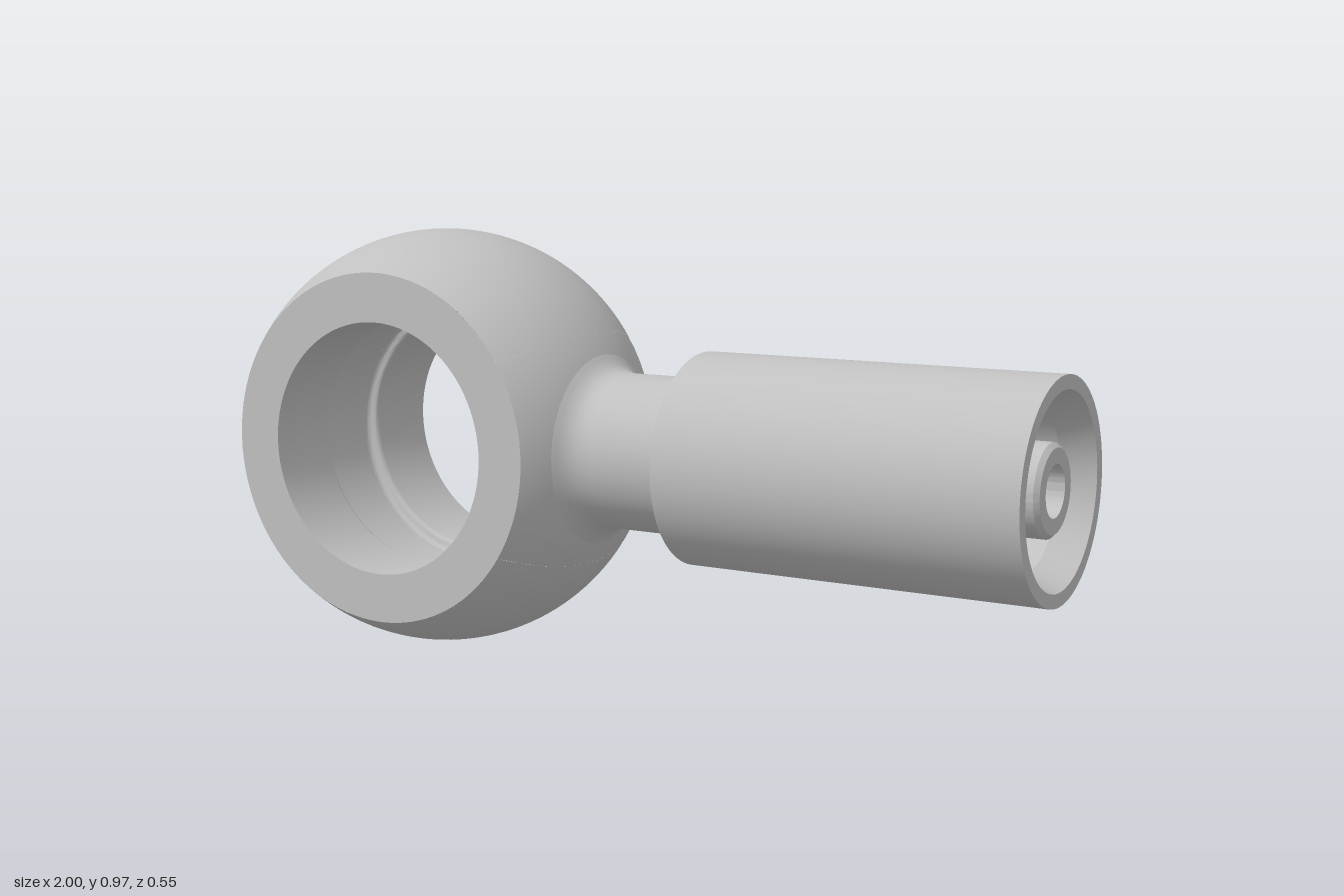
import * as THREE from 'three';
import { toCreasedNormals } from 'three/addons/utils/BufferGeometryUtils.js';

const CX = -0.515, CY = 0.487;        // centre of the eye
const BALL = 0.485, HALF = 0.277;     // ball radius, half width between the flats
const BORE = 0.287, GROOVE = 0.312, GH = 0.075;
const DUCT = 0.055;

const steel = new THREE.MeshStandardMaterial({ color: 0xc0c0c0 });
steel.name = 'steel';

const points = (list) => list.map(([r, a]) => new THREE.Vector2(r, a));

// Arc of profile points around (r, a)
function arc(r, a, radius, from, to, n) {
  return Array.from({ length: n + 1 }, (_, i) => {
    const t = from + (to - from) * i / n;
    return [r + radius * Math.cos(t), a + radius * Math.sin(t)];
  });
}

// Revolved profile with sharp edges kept
function turned(list) {
  return toCreasedNormals(new THREE.LatheGeometry(points(list), 96), 0.35);
}

// Revolved band about z that leaves a gap of +-gap radians around +x
function bandWithGap(list, gap) {
  const g = new THREE.LatheGeometry(points(list), 96, Math.PI / 2 + gap, Math.PI * 2 - gap * 2);
  return g.rotateX(Math.PI / 2);
}

// Square patch that fills such a gap, with a round hole in its middle
function holedPatch(radiusAt, slopeAt, half, hole, sign) {
  const SEG = 64, RINGS = 12, pos = [], nor = [], idx = [];
  const r0 = radiusAt(0);
  for (let k = 0; k <= RINGS; k++) {
    for (let i = 0; i <= SEG; i++) {
      const t = i / SEG * Math.PI * 2, c = Math.cos(t), s = Math.sin(t);
      const edge = half / Math.max(Math.abs(c), Math.abs(s));
      const d = hole + (edge - hole) * k / RINGS;
      const a = d * c / r0, z = d * s, r = radiusAt(z);
      pos.push(r * Math.cos(a), r * Math.sin(a), z);
      const n = new THREE.Vector3(Math.cos(a), Math.sin(a), slopeAt(z)).normalize().multiplyScalar(sign);
      nor.push(n.x, n.y, n.z);
      if (k < RINGS && i < SEG) {
        const p = k * (SEG + 1) + i, q = p + SEG + 1;
        if (sign > 0) idx.push(p, q, p + 1, q, q + 1, p + 1);
        else idx.push(p, p + 1, q, q, p + 1, q + 1);
      }
    }
  }
  const g = new THREE.BufferGeometry();
  g.setAttribute('position', new THREE.Float32BufferAttribute(pos, 3));
  g.setAttribute('normal', new THREE.Float32BufferAttribute(nor, 3));
  g.setIndex(idx);
  return g;
}

export function createModel() {
  const model = new THREE.Group();
  model.name = 'banjoFitting';

  const add = (parent, name, geometry) => {
    const mesh = new THREE.Mesh(geometry, steel);
    mesh.name = name;
    parent.add(mesh);
  };

  // Eye: truncated ball with a bore along z
  const eye = new THREE.Group();
  eye.name = 'eye';
  eye.position.set(CX, CY, 0);
  model.add(eye);

  const lat = Math.asin(HALF / BALL);
  const flatR = BALL * Math.cos(lat);
  const ballAt = (z) => Math.sqrt(BALL * BALL - z * z);
  add(eye, 'ballShell', bandWithGap(arc(0, 0, BALL, -lat, lat, 32), HALF / BALL));
  add(eye, 'ballStemSide', holedPatch(ballAt, (z) => z / ballAt(z), HALF, 0.15, 1));

  // Flat face, bore and rounded groove lip, one for each side
  const lip = 0.0125;
  const side = [
    [flatR, HALF], [BORE, HALF], [BORE, GH + 2 * lip],
    ...arc(BORE + lip, GH + 2 * lip, lip, Math.PI, Math.PI * 1.5, 5),
    ...arc(GROOVE - lip, GH, lip, Math.PI / 2, 0, 5),
  ];
  add(eye, 'frontFaceAndBore', turned(side).rotateX(Math.PI / 2));
  add(eye, 'backFaceAndBore', turned(side).rotateX(-Math.PI / 2));

  // Groove floor, opening into the duct
  add(eye, 'grooveFloor', bandWithGap([[GROOVE, GH], [GROOVE, -GH]], GH / GROOVE));
  add(eye, 'grooveDuctSide', holedPatch(() => GROOVE, () => 0, GH, DUCT, -1));

  // Parts turned about the x axis
  const tail = new THREE.Group();
  tail.name = 'tail';
  tail.position.y = CY;
  tail.rotation.z = -Math.PI / 2;
  model.add(tail);

  // Neck with a fillet running into the ball
  add(tail, 'neck', turned([
    [0.222, -0.086], [0.205, -0.073], [0.192, -0.062], [0.182, -0.046], [0.177, -0.03],
    [0.175, -0.01], [0.175, 0.19],
  ]));

  // Crimp sleeve with a flared mouth
  add(tail, 'sleeve', turned([
    [0.17, 0.183], [0.235, 0.183], [0.235, 1], [0.205, 1],
    [0.175, 0.93], [0.175, 0.3], [0.09, 0.3],
  ]));

  // Hose nipple and the duct through it to the bore
  add(tail, 'nipple', turned([
    [0.098, 0.3], [0.098, 0.975], [0.088, 0.985], [DUCT, 0.985],
  ]));
  add(tail, 'duct', turned([[DUCT, 0.985], [DUCT, CX + GROOVE - 0.005]]));

  return model;
}
